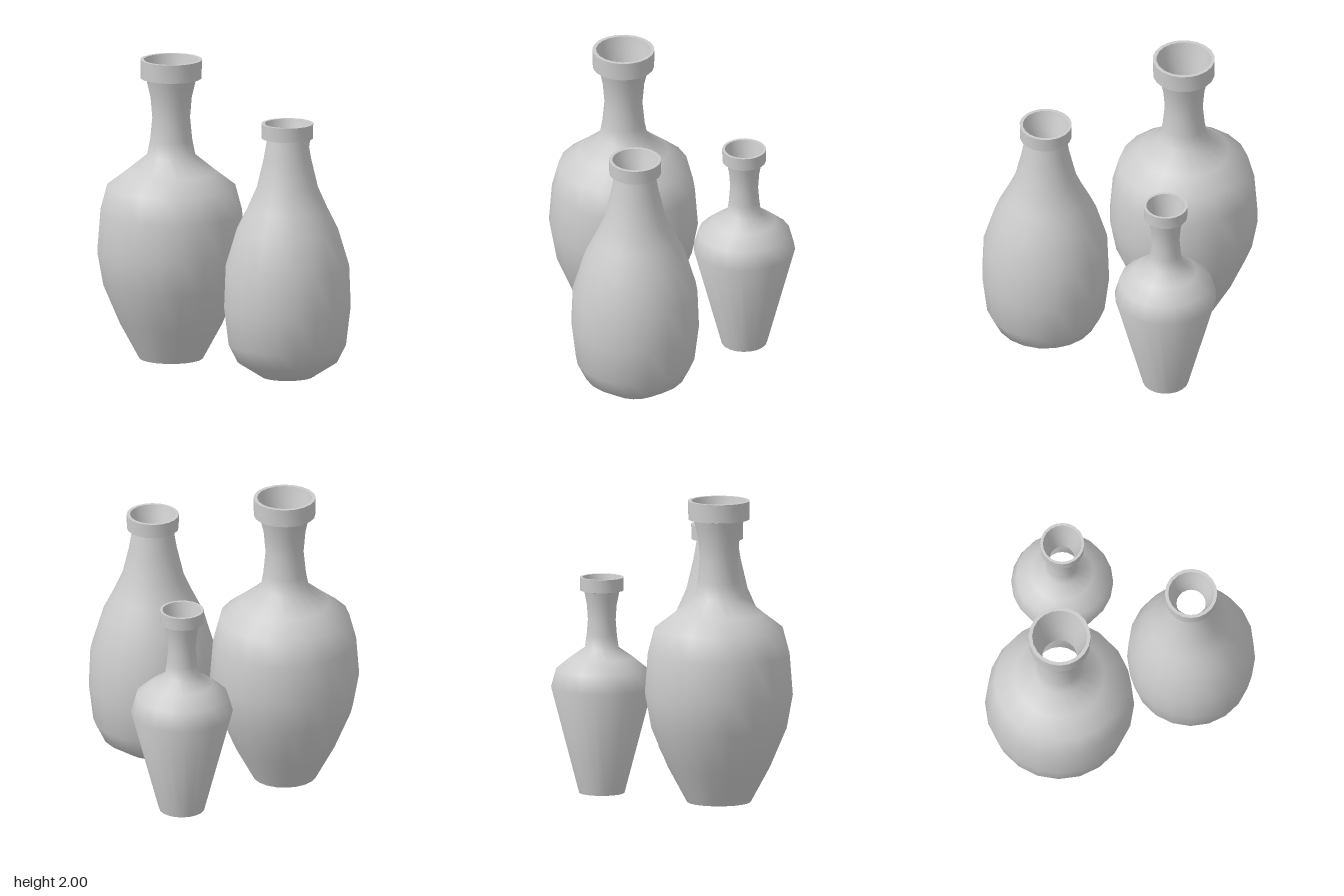
import * as THREE from 'three';
import { toCreasedNormals } from 'three/addons/utils/BufferGeometryUtils.js';

const SIDES = 20;

// Each profile runs [radius, y] up the outside, over the lip and down the throat.
const vases = [
  {
    name: 'tallVase', x: -0.35, z: -0.4,
    profile: [
      [0.21, 0], [0.34, 0.24], [0.45, 0.5], [0.49, 0.72], [0.47, 0.98], [0.425, 1.15],
      [0.295, 1.25], [0.16, 1.36], [0.14, 1.46], [0.125, 1.61], [0.137, 1.75], [0.165, 1.87],
      [0.202, 1.877], [0.204, 2], [0.18, 2], [0.165, 1.92], [0.127, 1.78], [0.115, 1.61],
    ],
  },
  {
    name: 'roundVase', x: 0.075, z: 0.457,
    profile: [
      [0.175, 0], [0.33, 0.1], [0.39, 0.22], [0.42, 0.47], [0.41, 0.73], [0.335, 0.98],
      [0.265, 1.12], [0.203, 1.26], [0.158, 1.45], [0.134, 1.59],
      [0.17, 1.595], [0.172, 1.692], [0.15, 1.692], [0.133, 1.63], [0.108, 1.57], [0.096, 1.5],
    ],
  },
  {
    name: 'smallVase', x: 0.505, z: -0.395,
    profile: [
      [0.15, 0], [0.335, 0.7], [0.302, 0.82], [0.205, 0.9], [0.112, 0.965], [0.1, 1.05],
      [0.092, 1.15], [0.099, 1.25], [0.117, 1.34],
      [0.143, 1.345], [0.145, 1.432], [0.127, 1.432], [0.115, 1.37], [0.09, 1.26], [0.082, 1.15],
    ],
  },
];

function makeVase({ name, x, z, profile }, material) {
  const vase = new THREE.Group();
  vase.name = name;
  vase.position.set(x, 0, z);

  // Turned body, neck and lip, with sharp edges only at the rim
  const points = profile.map(([r, y]) => new THREE.Vector2(r, y));
  const lathe = new THREE.LatheGeometry(points, SIDES);
  const body = new THREE.Mesh(toCreasedNormals(lathe, Math.PI / 3), material);
  body.name = 'body';

  // Flat underside
  const disc = new THREE.CircleGeometry(profile[0][0], SIDES).rotateX(Math.PI / 2);
  const base = new THREE.Mesh(disc, material);
  base.name = 'base';

  vase.add(body, base);
  return vase;
}

export function createModel() {
  const group = new THREE.Group();
  group.name = 'vases';
  const material = new THREE.MeshStandardMaterial({ color: 0xcccccc });
  for (const vase of vases) group.add(makeVase(vase, material));
  return group;
}
